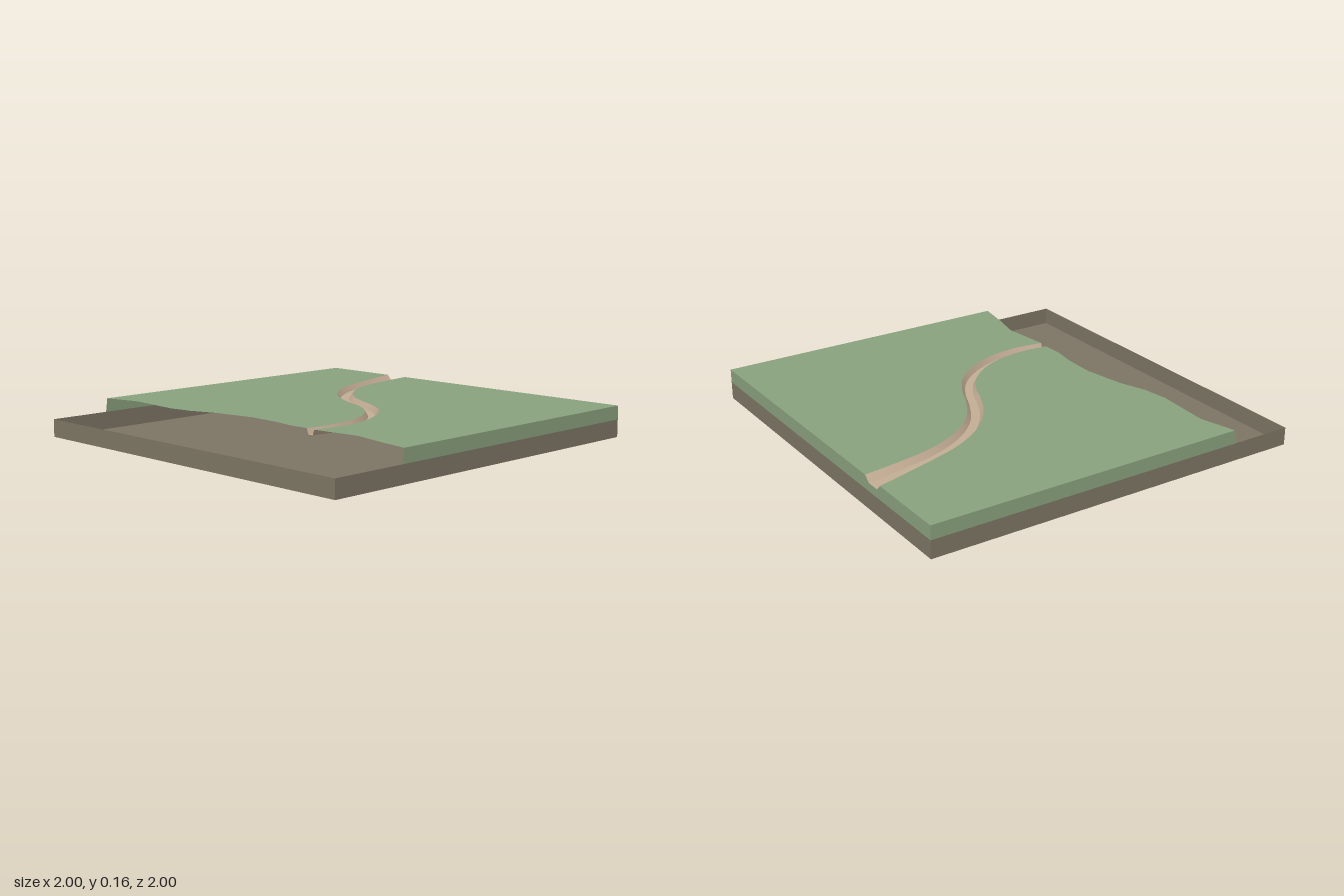
import * as THREE from 'three';

const RIM = 0.09, TOP = 0.16, BED = 0.132;

const material = (color) => new THREE.MeshStandardMaterial({ color, side: THREE.DoubleSide, roughness: 1 });
const soil = material(0x7d7664);
const grass = material(0x8aa27e);
const sand = material(0xc4ad95);

function addMesh(group, name, geometry, mat) {
  const mesh = new THREE.Mesh(geometry, mat);
  mesh.name = name;
  group.add(mesh);
}

// Surface between two rows of points of equal length
function strip(rowA, rowB) {
  const n = rowA.length, index = [];
  for (let i = 0; i < n - 1; i++) index.push(i, n + i, i + 1, i + 1, n + i, n + i + 1);
  const geometry = new THREE.BufferGeometry().setFromPoints([...rowA, ...rowB]);
  geometry.setIndex(index);
  geometry.computeVertexNormals();
  return geometry;
}

// Flat polygon given by [x, z] corners, facing up at the given height
function ground(points, y) {
  const shape = new THREE.Shape(points.map(([x, z]) => new THREE.Vector2(x, -z)));
  return new THREE.ShapeGeometry(shape).rotateX(-Math.PI / 2).translate(0, y, 0);
}

// Smooth river bank line at the top of the grass
function bank(points) {
  const curve = new THREE.CatmullRomCurve3(points.map(([x, z]) => new THREE.Vector3(x, TOP, z)));
  return curve.getPoints((points.length - 1) * 6);
}

export function createModel() {
  const model = new THREE.Group();
  model.name = 'riverTerrain';

  // Open soil tray: floor and four thin walls
  const tray = new THREE.Group();
  tray.name = 'soilTray';
  addMesh(tray, 'trayFloor', new THREE.PlaneGeometry(2, 2).rotateX(Math.PI / 2), soil);
  for (let i = 0; i < 4; i++) {
    const wall = new THREE.PlaneGeometry(2, RIM).translate(0, RIM / 2, 1).rotateY(i * Math.PI / 2);
    addMesh(tray, 'trayWall', wall, soil);
  }
  model.add(tray);

  // River banks, listed from the mouth to the far edge
  const north = bank([[-0.55, 0.365], [-0.42, 0.377], [-0.25, 0.355], [-0.12, 0.3], [0, 0.203], [0.08, 0.08],
    [0.12, -0.02], [0.2, -0.17], [0.32, -0.305], [0.5, -0.42], [0.75, -0.505], [1, -0.577]]);
  const south = bank([[-0.555, 0.42], [-0.4, 0.437], [-0.23, 0.415], [-0.08, 0.35], [0.05, 0.25], [0.14, 0.12],
    [0.2, -0.01], [0.29, -0.16], [0.42, -0.28], [0.6, -0.37], [0.8, -0.415], [1, -0.445]]);
  const bedLine = (t) => north.map((p, i) => p.clone().lerp(south[i], t).setY(BED));
  const bedNorth = bedLine(0.21), bedSouth = bedLine(0.76);

  const river = new THREE.Group();
  river.name = 'riverChannel';
  addMesh(river, 'northSlope', strip(north, bedNorth), sand);
  addMesh(river, 'riverBed', strip(bedNorth, bedSouth), sand);
  addMesh(river, 'southSlope', strip(bedSouth, south), sand);
  model.add(river);

  // Grass tops on both sides of the river, bounded by the ragged shore
  const shoreNorth = [[-0.67, -1], [-0.622, -0.81], [-0.64, -0.52], [-0.62, -0.39], [-0.57, -0.25],
    [-0.53, -0.03], [-0.535, 0.14], [-0.552, 0.25]];
  const shoreSouth = [[-0.525, 0.67], [-0.56, 0.83], [-0.588, 1]];
  const flat = (row) => row.map((p) => [p.x, p.z]);
  const land = new THREE.Group();
  land.name = 'grassland';
  addMesh(land, 'northGrass', ground([...shoreNorth, ...flat(north), [1, -1]], TOP), grass);
  addMesh(land, 'southGrass', ground([...shoreSouth, [1, 1], ...flat(south).reverse()], TOP), grass);

  // Front and back grass edges, leaning slightly at the shore
  const edge = (z, topX, footX) => strip(
    [new THREE.Vector3(topX, TOP, z), new THREE.Vector3(1, TOP, z)],
    [new THREE.Vector3(footX, RIM, z), new THREE.Vector3(1, RIM, z)]);
  addMesh(land, 'frontGrassEdge', edge(1, -0.588, -0.597), grass);
  // Reversed so that it faces backwards
  const back = edge(-1, -0.67, -0.68);
  back.setIndex([...back.index.array].reverse());
  back.computeVertexNormals();
  addMesh(land, 'backGrassEdge', back, grass);

  // Side grass edge, notched where the river leaves
  const last = north.length - 1;
  const profile = [new THREE.Vector3(1, TOP, 1), south[last], bedSouth[last], bedNorth[last], north[last],
    new THREE.Vector3(1, TOP, -1)];
  addMesh(land, 'sideGrassEdge', strip(profile, profile.map((p) => p.clone().setY(RIM))), grass);
  model.add(land);

  return model;
}
